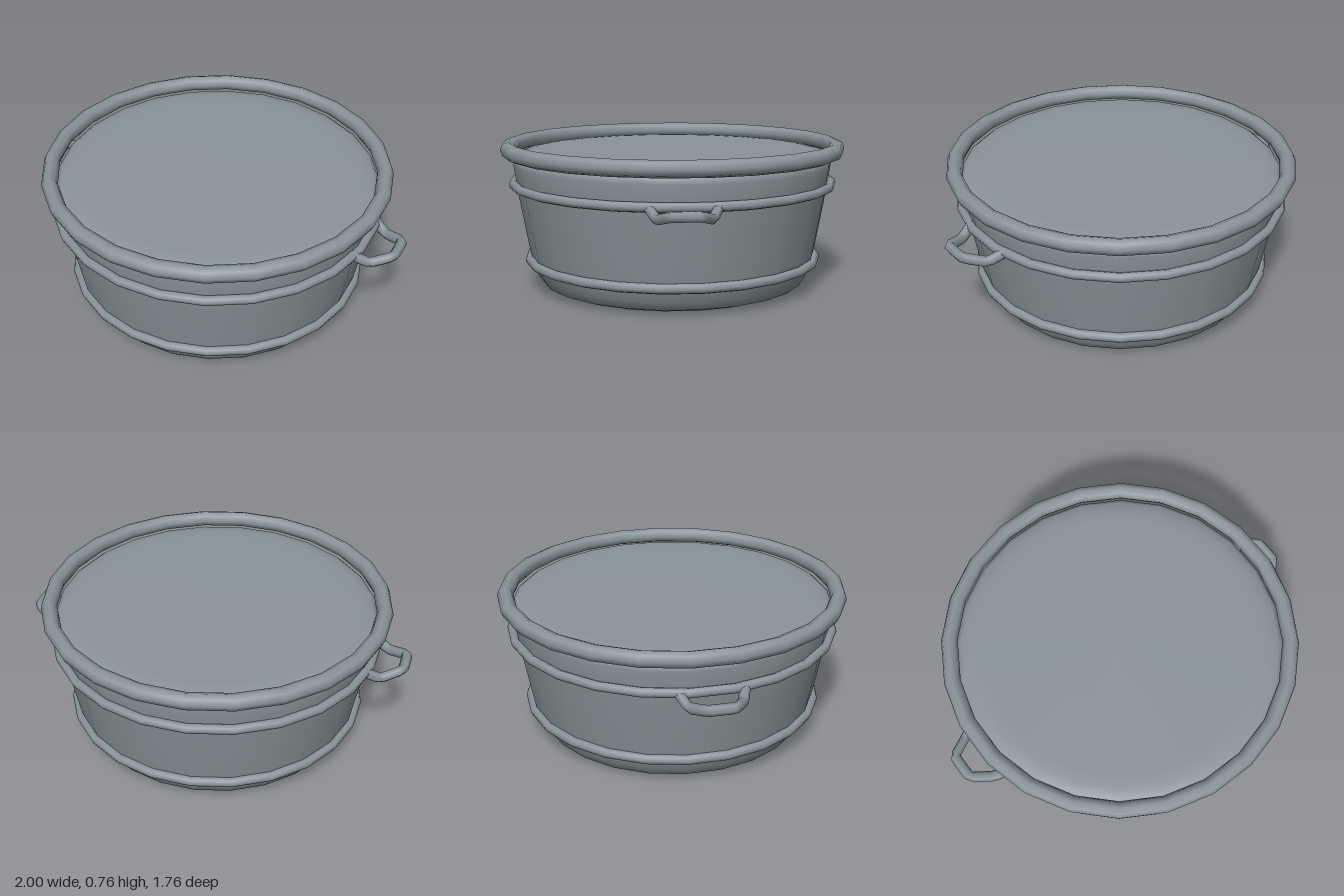
import * as THREE from 'three';

const SIDES = 24;

export function createModel() {
  const model = new THREE.Group();
  model.name = 'lidded tub';
  const metal = new THREE.MeshStandardMaterial({ color: 0x899499 });
  metal.name = 'grey metal';

  const add = (name, geometry) => {
    const mesh = new THREE.Mesh(geometry, metal);
    mesh.name = name;
    model.add(mesh);
    return mesh;
  };

  // Closed body: flat base, rounded foot, flared wall, softly rounded lid
  const profile = [
    [0, 0], [0.58, 0], [0.62, 0.004], [0.68, 0.025], [0.71, 0.07], [0.73, 0.13],
    [0.745, 0.19], [0.802, 0.51], [0.81, 0.57], [0.82, 0.64], [0.815, 0.67],
    [0.79, 0.69], [0.74, 0.699], [0.68, 0.702], [0, 0.702],
  ].map(([r, y]) => new THREE.Vector2(r, y));
  add('body', new THREE.LatheGeometry(profile, SIDES, Math.PI / SIDES));

  // Round hoops around the body
  const hoop = (name, radius, tube, y) => {
    const g = new THREE.TorusGeometry(radius, tube, 8, SIDES);
    g.rotateX(Math.PI / 2).rotateY(Math.PI / SIDES).translate(0, y, 0);
    add(name, g);
  };
  hoop('rim', 0.845, 0.041, 0.715);
  hoop('upperHoop', 0.822, 0.024, 0.538);
  hoop('lowerHoop', 0.746, 0.025, 0.145);

  // Bent side handles, dipping below the upper hoop and rising outward
  const half = [[0.79, 0.54, 0.16], [0.875, 0.497, 0.125], [0.973, 0.526, 0.065]];
  const path = [...half, ...half.map(([x, y, z]) => [x, y, -z]).reverse()]
    .map((p) => new THREE.Vector3(...p));
  const curve = new THREE.CatmullRomCurve3(path, false, 'catmullrom', 0.1);
  for (const [name, turn] of [['leftHandle', 0], ['rightHandle', Math.PI]]) {
    const handle = add(name, new THREE.TubeGeometry(curve, 20, 0.026, 6));
    handle.rotation.y = turn;
  }
  return model;
}
